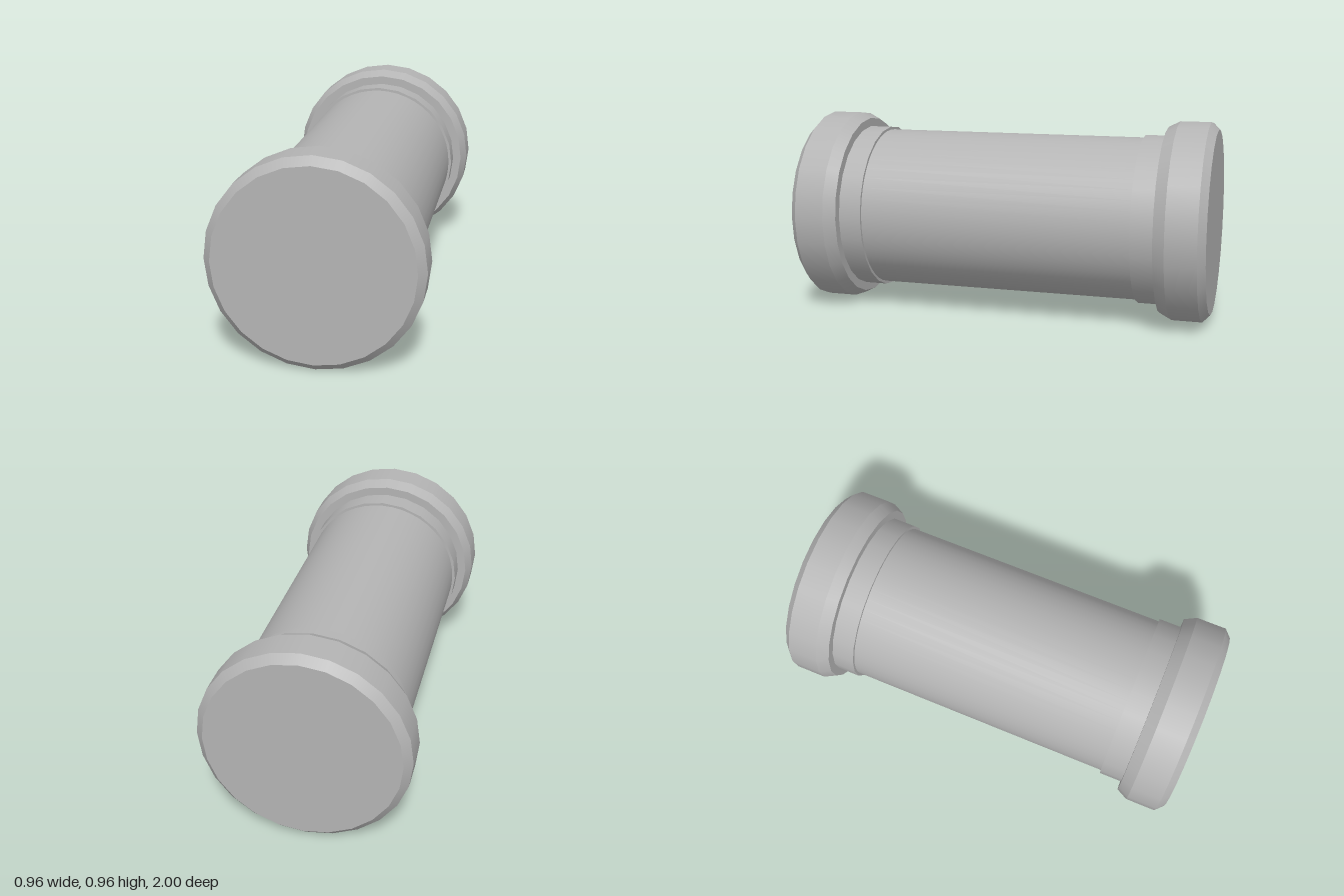
import * as THREE from 'three';

const AXIS_Y = 0.478;

// Cylinder or cone section lying along z; rFront is the radius at zFront
function section(name, rBack, rFront, zBack, zFront, sides, open, material) {
  const geometry = new THREE.CylinderGeometry(rFront, rBack, zFront - zBack, sides, 1, open);
  geometry.rotateX(Math.PI / 2);
  geometry.translate(0, 0, (zBack + zFront) / 2);
  const mesh = new THREE.Mesh(geometry, material);
  mesh.name = name;
  return mesh;
}

// Chamfered end cap with the narrower collar behind it
function endCap(name, material) {
  const group = new THREE.Group();
  group.name = name;
  group.add(
    section('collar', 0.408, 0.408, 0.655, 0.77, 24, false, material),
    section('innerChamfer', 0.45, 0.478, 0.765, 0.82, 24, false, material),
    section('rim', 0.478, 0.478, 0.82, 0.965, 24, true, material),
    section('outerChamfer', 0.478, 0.442, 0.965, 1, 24, false, material)
  );
  return group;
}

export function createModel() {
  const grey = new THREE.MeshStandardMaterial({ color: 0xb4b4b4 });
  grey.name = 'grey';

  const model = new THREE.Group();
  model.name = 'cappedTube';

  // Central tube
  const tube = section('tube', 0.393, 0.393, -0.7, 0.7, 48, true, grey);

  // Matching caps at both ends
  const front = endCap('frontCap', grey);
  const back = endCap('backCap', grey);
  back.rotation.y = Math.PI;

  const parts = new THREE.Group();
  parts.name = 'body';
  parts.position.y = AXIS_Y;
  parts.add(tube, front, back);
  model.add(parts);
  return model;
}
